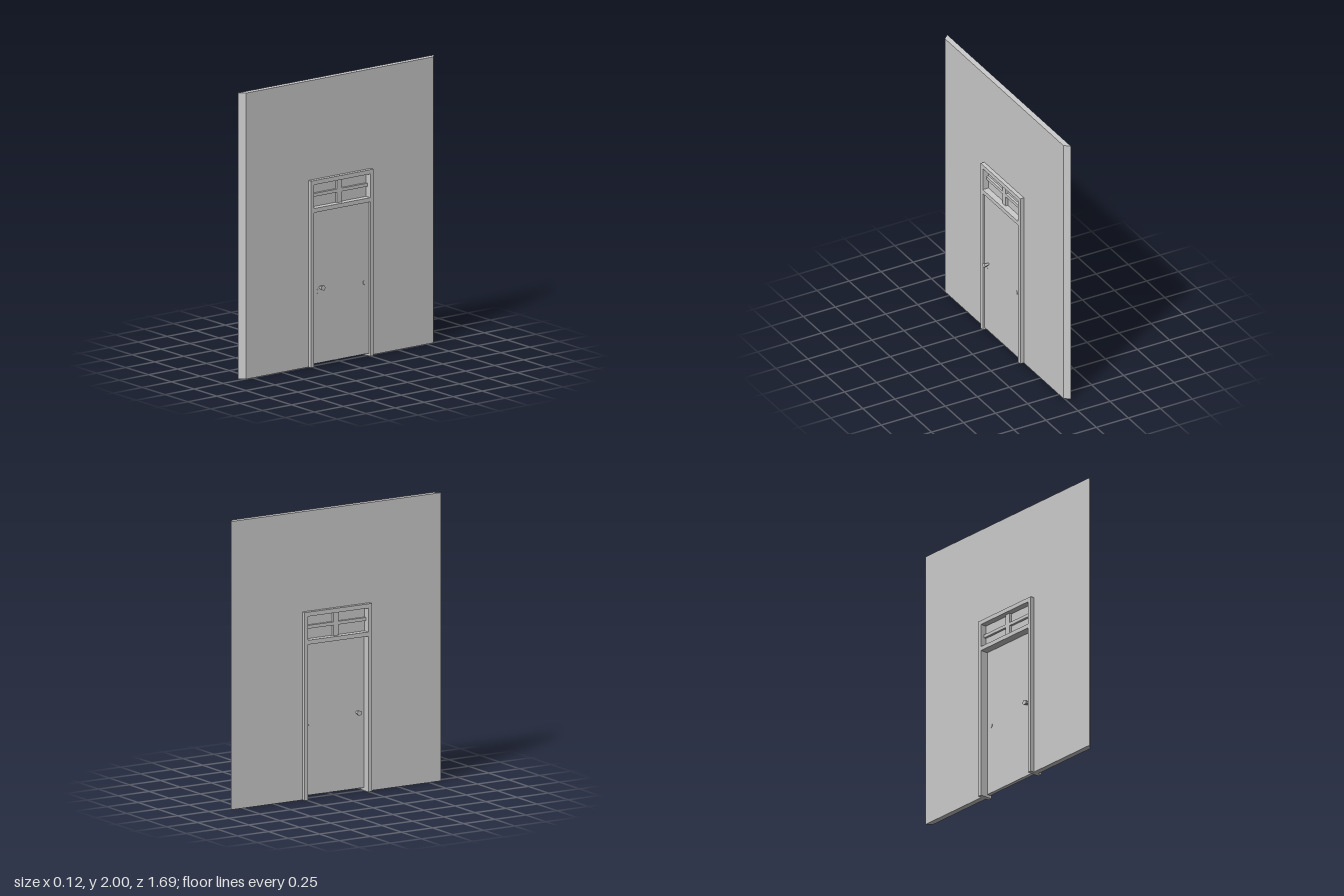
import * as THREE from 'three';

export function createModel() {
  const model = new THREE.Group();
  const grey = new THREE.MeshStandardMaterial({ color: 0xcccccc });
  grey.name = 'plain grey';
  grey.flatShading = true;

  const add = (name, geometry) => {
    const mesh = new THREE.Mesh(geometry, grey);
    mesh.name = name;
    model.add(mesh);
    return mesh;
  };
  // Box given by its limits on each axis
  const box = (name, [x0, x1], [y0, y1], [z0, z1]) =>
    add(name, new THREE.BoxGeometry(x1 - x0, y1 - y0, z1 - z0)
      .translate((x0 + x1) / 2, (y0 + y1) / 2, (z0 + z1) / 2));
  // Outline in the wall plane, given thickness along x
  const slab = (points, x0, x1, hole) => {
    const toVectors = list => list.map(([u, v]) => new THREE.Vector2(u, v));
    const shape = new THREE.Shape(toVectors(points));
    if (hole) shape.holes.push(new THREE.Path(toVectors(hole)));
    return new THREE.ExtrudeGeometry(shape, { depth: x1 - x0, bevelEnabled: false })
      .rotateY(Math.PI / 2).translate(x0, 0, 0);
  };
  // Arch-like outline: a rectangle with a doorway cut from its lower edge
  const doorway = (w, h, iw, ih) => [
    [-w, 0], [-iw, 0], [-iw, ih], [iw, ih], [iw, 0], [w, 0], [w, h], [-w, h],
  ];

  // Wall with mitred ends, narrower on the +x face
  const wall = slab(doorway(0.845, 2, 0.255, 1.29), -0.035, 0.005);
  const p = wall.attributes.position;
  for (let i = 0; i < p.count; i++) {
    if (Math.abs(p.getZ(i)) > 0.8 && p.getX(i) > 0) p.setZ(i, Math.sign(p.getZ(i)) * 0.808);
  }
  wall.computeVertexNormals();
  add('wall', wall);

  // Door frame with the transom opening
  add('doorFrame', slab(doorway(0.27, 1.305, 0.242, 1.08), -0.063, 0.033,
    [[-0.242, 1.11], [-0.242, 1.275], [0.242, 1.275], [0.242, 1.11]]));

  // Transom window
  box('transomPane', [-0.018, -0.012], [1.11, 1.275], [-0.242, 0.242]);
  box('verticalGlazingBar', [-0.035, 0.005], [1.11, 1.275], [-0.022, 0.022]);
  for (const s of [-1, 1]) {
    box('horizontalGlazingBar', [-0.035, 0.005], [1.183, 1.206],
      s > 0 ? [0.022, 0.242] : [-0.242, -0.022]);
  }

  // Door leaf, raised above the floor
  const back = -0.006, front = 0.021;
  box('door', [back, front], [0.02, 1.08], [-0.242, 0.242]);

  // Flared five-sided knobs and small lock plates on both faces
  for (const [side, face] of [[1, front], [-1, back]]) {
    const length = 0.039;
    add('doorKnob', new THREE.CylinderGeometry(0.02, 0.008, length, 5)
      .rotateY(Math.PI).rotateZ(-side * Math.PI / 2)
      .translate(face + side * length / 2, 0.55, 0.183));
    for (const z of [-0.2, 0.2]) {
      add('lockPlate', new THREE.CylinderGeometry(1, 1, 0.003, 6)
        .rotateZ(Math.PI / 2).rotateX(Math.PI / 2).scale(1, 0.018, 0.011)
        .translate(face + side * 0.001, 0.522, z));
    }
  }
  return model;
}
